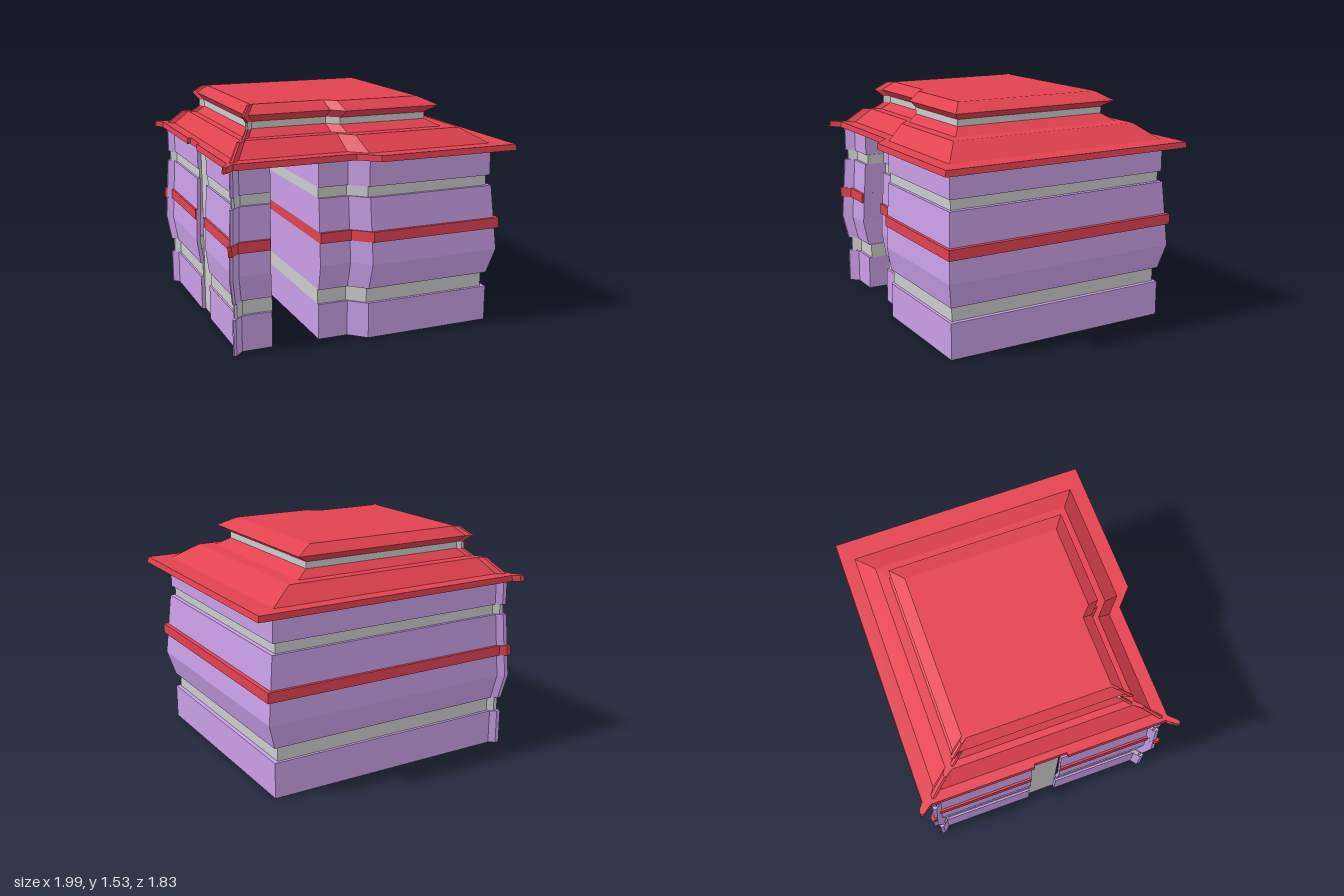
import * as THREE from 'three';

const mat = (color) => new THREE.MeshStandardMaterial({ color, flatShading: true, side: THREE.DoubleSide });
const PURPLE = mat(0xc89fe6), RED = mat(0xe2424f), GREY = mat(0xcccccc);

// every level of the building is the same plan, scaled about this x on z = 0
const CX = -0.33;
const at = ([x, z], y, s) => [CX + (x - CX) * s, y, z * s];

// plan outline, counter-clockwise seen from above
const frontRight = [[-0.33, 0.72], [-0.127, 0.72], [-0.02, 0.82], [0.86, 0.82], [0.86, -0.785]];
const backPost = [[-0.849, -0.785], [-0.889, -0.815], [-0.918, -0.815], [-0.918, -0.792], [-0.88, -0.751]];
const frontPost = [[-0.88, 0.716], [-0.924, 0.751], [-0.924, 0.774], [-0.907, 0.774], [-0.853, 0.72]];
const doorLeft = [-0.65, 0.72];
const notch = (x) => [[-0.88, -0.115], [x, -0.115], [x, 0.09], [-0.88, 0.09]];

// open wall runs, including both walls of the passage
const wallRuns = [
  [[-0.33, -0.785], ...frontRight, ...backPost, ...notch(-0.855).slice(0, 2)],
  [...notch(-0.855).slice(2), ...frontPost, doorLeft, [-0.65, -0.785]],
];
const ring = (x) => {
  const pts = [...frontRight, ...backPost, ...notch(x), ...frontPost, doorLeft];
  return [...pts, pts[0]];
};

// skin a profile of [y, scale] levels along plan paths
function sweep(name, material, paths, profile) {
  const pos = [];
  for (const path of paths) {
    for (let j = 0; j < profile.length - 1; j++) {
      for (let i = 0; i < path.length - 1; i++) {
        const a = at(path[i], ...profile[j]), b = at(path[i + 1], ...profile[j]);
        const c = at(path[i + 1], ...profile[j + 1]), d = at(path[i], ...profile[j + 1]);
        pos.push(...a, ...b, ...c, ...a, ...c, ...d);
      }
    }
  }
  const geo = new THREE.BufferGeometry();
  geo.setAttribute('position', new THREE.Float32BufferAttribute(pos, 3));
  geo.computeVertexNormals();
  const mesh = new THREE.Mesh(geo, material);
  mesh.name = name;
  return mesh;
}

export function createModel() {
  const model = new THREE.Group();
  model.name = 'house';

  // walls, from the ground up
  const walls = new THREE.Group();
  walls.name = 'walls';
  const bands = [
    ['plinth', PURPLE, [[0, 1], [0.24, 1], [0.24, 0.975]]],
    ['lowerGroove', GREY, [[0.24, 0.975], [0.34, 0.975]]],
    ['bulgingWall', PURPLE, [[0.34, 0.975], [0.34, 1], [0.51, 1.042], [0.95, 1.008], [0.95, 0.982]]],
    ['belt', RED, [[0.66, 1.03], [0.66, 1.05], [0.73, 1.05], [0.73, 1.024]]],
    ['upperGroove', GREY, [[0.95, 0.982], [1.02, 0.982]]],
    ['wallTop', PURPLE, [[1.02, 0.982], [1.02, 1], [1.2, 1]]],
  ];
  for (const [name, material, profile] of bands) walls.add(sweep(name, material, wallRuns, profile));

  // flat panel set into the left-hand side wall
  walls.add(sweep('sidePanel', GREY, [[[-0.855, -0.115], [-0.855, 0.09]]], [[0, 1], [1.2, 1]]));
  model.add(walls);

  // roof: notched eave, two slopes, neck and lid
  const roof = new THREE.Group();
  roof.name = 'roof';
  const plain = [ring(-0.88)];
  roof.add(
    sweep('eave', RED, [ring(-0.862)], [[1.195, 0.99], [1.195, 1.118], [1.235, 1.111], [1.235, 0.98]]),
    sweep('roofSlope', RED, plain, [[1.235, 0.99], [1.335, 0.85], [1.337, 0.768], [1.385, 0.69]]),
    sweep('roofNeck', GREY, plain, [[1.385, 0.69], [1.43, 0.69]]),
    sweep('lidRim', RED, plain, [[1.43, 0.69], [1.478, 0.757], [1.535, 0.655]]),
  );
  const outline = ring(-0.88).slice(0, -1).map((p) => {
    const [x, , z] = at(p, 0, 0.655);
    return new THREE.Vector2(x, -z);
  });
  const lid = new THREE.Mesh(new THREE.ShapeGeometry(new THREE.Shape(outline)), RED);
  lid.name = 'lidTop';
  lid.rotation.x = -Math.PI / 2;
  lid.position.y = 1.535;
  roof.add(lid);
  model.add(roof);

  return model;
}
